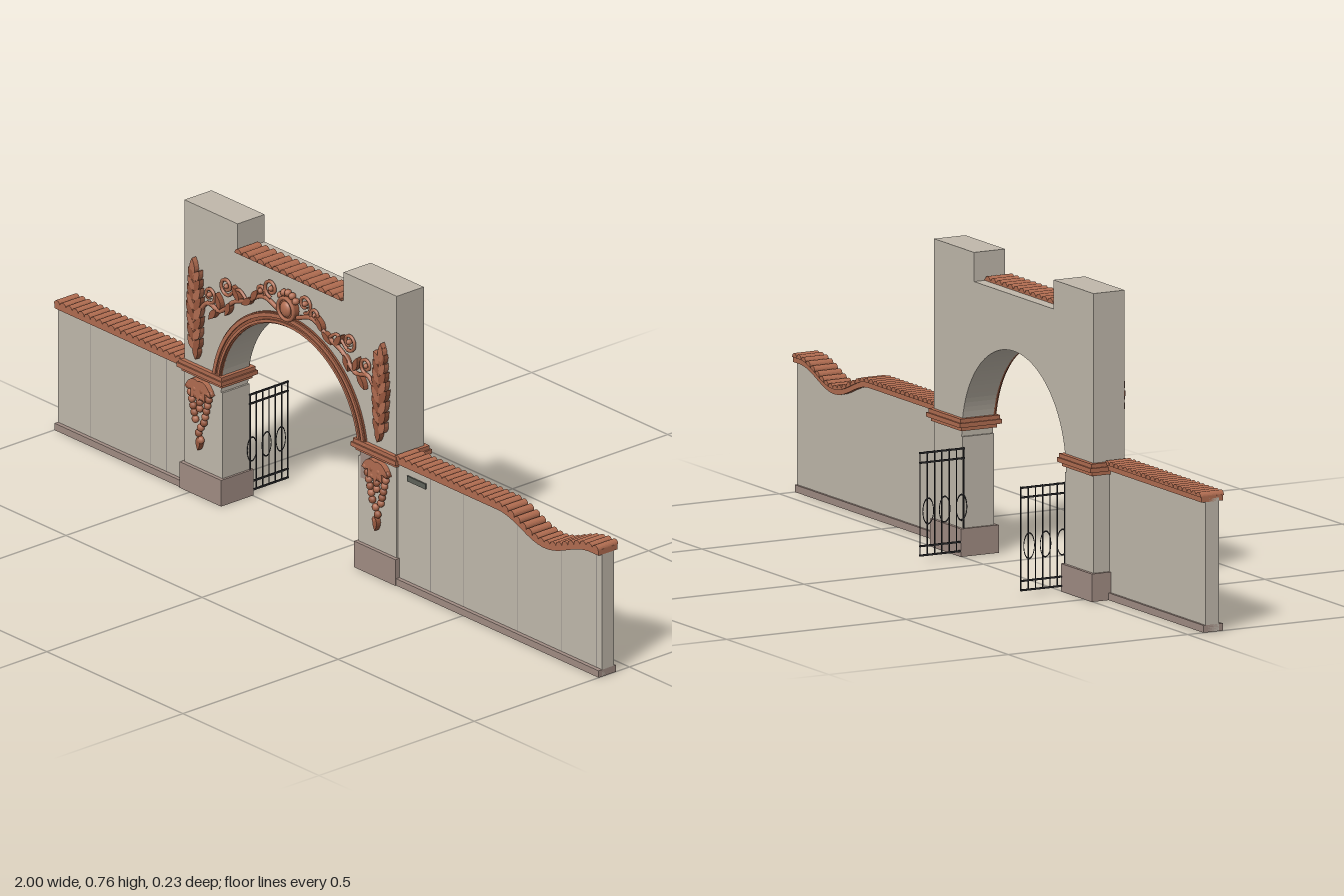
import * as THREE from 'three';

export function createModel() {
  const root = new THREE.Group();
  const mat = (name, color, side = THREE.FrontSide) => {
    const m = new THREE.MeshStandardMaterial({ color, side });
    m.name = name;
    return m;
  };
  const plaster = mat('plaster', 0xc0b8ab);
  const clay = mat('terracotta', 0xb06c50);
  const carved = mat('carvedTerracotta', 0x98583e);
  const plinth = mat('plinthStone', 0xa08c83);
  const iron = mat('iron', 0x2a2a2c);
  const sign = mat('plaqueMetal', 0x5f625a);
  const seamMat = mat('seam', 0x96908a);

  const add = (name, geo, m, x = 0, y = 0, z = 0, parent = root) => {
    const mesh = new THREE.Mesh(geo, m);
    mesh.name = name;
    mesh.position.set(x, y, z);
    parent.add(mesh);
    return mesh;
  };
  // box given by its minimum and maximum on each axis
  const box = (name, m, x0, x1, y0, y1, z0, z1, parent = root) =>
    add(name, new THREE.BoxGeometry(x1 - x0, y1 - y0, z1 - z0), m,
      (x0 + x1) / 2, (y0 + y1) / 2, (z0 + z1) / 2, parent);
  const extrude = (shape, depth, curveSegments = 32) =>
    new THREE.ExtrudeGeometry(shape, { depth, bevelEnabled: false, curveSegments });
  const group = (name) => {
    const g = new THREE.Group();
    g.name = name;
    root.add(g);
    return g;
  };

  const CX = -0.14, CY = 0.295, R = 0.255;

  // gate body with arched opening and lowered middle
  const body = new THREE.Shape();
  body.moveTo(-0.53, 0);
  body.lineTo(-0.39, 0);
  body.lineTo(-0.39, CY);
  body.absarc(CX, CY, R, Math.PI, 0, true);
  body.lineTo(0.11, CY);
  [[0.11, 0], [0.25, 0], [0.25, 0.76], [0.055, 0.76], [0.055, 0.688], [-0.335, 0.688], [-0.335, 0.76], [-0.53, 0.76]]
    .forEach(([x, y]) => body.lineTo(x, y));
  add('archBody', extrude(body, 0.087), plaster, 0, 0, 0.005);

  // moulded band around the arch
  const band = (r0, r1, depth, name, m) => {
    const s = new THREE.Shape();
    s.absarc(CX, CY, r1, 0.12, Math.PI - 0.12, false);
    s.absarc(CX, CY, r0, Math.PI - 0.12, 0.12, true);
    add(name, extrude(s, depth, 40), m, 0, 0, 0.091);
  };
  band(R, 0.285, 0.006, 'archBand', carved);
  band(0.258, 0.265, 0.01, 'archInnerRib', clay);
  band(0.272, 0.282, 0.01, 'archOuterRib', clay);

  // pier plinths and stepped capitals
  [[-0.53, -0.39], [0.11, 0.25]].forEach(([a, b]) => {
    box('pierPlinth', plinth, a - 0.006, b + 0.006, 0, 0.069, -0.003, 0.102);
    [[0.31, 0.32, 0.004], [0.32, 0.331, 0.013], [0.331, 0.341, 0.009]].forEach(([y0, y1, o]) =>
      box('capitalStep', clay, a - o, b + o, y0, y1, 0.003 - o, 0.094 + o));
  });

  // boundary walls, whose top dips near the right end
  const topAt = (x) => Math.abs(x - 0.8) < 0.17
    ? 0.33 - 0.045 * (1 + Math.cos(Math.PI * (x - 0.8) / 0.17)) / 2 : 0.33;
  const strip = (x0, x1, low, high) => {
    const s = new THREE.Shape();
    const n = 40;
    s.moveTo(x0, low(x0));
    for (let i = 1; i <= n; i++) s.lineTo(x0 + (x1 - x0) * i / n, low(x0 + (x1 - x0) * i / n));
    for (let i = n; i >= 0; i--) s.lineTo(x0 + (x1 - x0) * i / n, high(x0 + (x1 - x0) * i / n));
    return s;
  };
  const tile = (name, r, depth, x, y, z, tilt, parent) => {
    const s = new THREE.Shape();
    s.absarc(0, 0, r, 0, Math.PI, false);
    add(name, extrude(s, depth, 5), clay, x, y, z, parent).rotation.z = tilt;
  };
  [[-1, -0.53, 21, [-0.88, -0.66, -0.6]], [0.25, 1, 34, [0.37, 0.49, 0.69, 0.85, 0.98]]].forEach(([x0, x1, n, seams]) => {
    add('boundaryWall', extrude(strip(x0, x1, () => 0, topAt), 0.038), plaster, 0, 0, 0.05);
    box('wallPlinth', plinth, x0, x1, 0, 0.018, 0.044, 0.099);
    add('copingBed', extrude(strip(x0, x1, (x) => topAt(x) - 0.008, (x) => topAt(x) + 0.006), 0.06), clay, 0, 0, 0.039);
    const tiles = group('copingTiles');
    const step = (x1 - x0) / n;
    for (let i = 0; i < n; i++) {
      const x = x0 + step * (i + 0.5);
      const tilt = Math.atan2(topAt(x + 0.01) - topAt(x - 0.01), 0.02);
      tile('copingTile', step / 2, 0.065, x, topAt(x) + 0.005, 0.036, tilt, tiles);
    }
    seams.forEach((x) => box('wallSeam', seamMat, x - 0.001, x + 0.001, 0.018, topAt(x) - 0.008, 0.087, 0.0885));
  });
  box('plaque', sign, 0.287, 0.355, 0.284, 0.298, 0.087, 0.092);
  box('pierPanel', plinth, 0.12, 0.157, 0.24, 0.31, 0.09, 0.094);

  // roof tiles in the lowered middle
  const roof = group('roofTiles');
  box('roofTileBed', clay, -0.335, 0.055, 0.686, 0.692, 0.035, 0.1, roof);
  for (let i = 0; i < 14; i++) {
    tile('roofTile', 0.0125, 0.068, -0.335 + 0.39 * (i + 0.5) / 14, 0.688, 0.035, 0, roof);
  }

  // carved ornament helpers
  const leafShape = new THREE.Shape();
  leafShape.moveTo(0, 0);
  leafShape.quadraticCurveTo(0.35, 0.5, 1, 0);
  leafShape.quadraticCurveTo(0.35, -0.5, 0, 0);
  const leafGeo = extrude(leafShape, 0.014, 6);
  const beadGeo = new THREE.SphereGeometry(1, 10, 8);
  const vine = (parent, pts, r) => add('vine', new THREE.TubeGeometry(
    new THREE.CatmullRomCurve3(pts.map(([x, y]) => new THREE.Vector3(x, y, 0.101))), pts.length * 5, r, 6), clay, 0, 0, 0, parent);

  // scrolls, leaf sprays and hanging clusters, mirrored about the arch axis
  [-1, 1].forEach((s) => {
    const g = group(s < 0 ? 'rightOrnament' : 'leftOrnament');
    const X = (u) => CX + s * u;
    const leaf = (u, y, len, wid, ang, m = clay) => {
      const l = add('leaf', leafGeo, m, X(u), y, 0.093, g);
      l.scale.set(len, wid, 1);
      l.rotation.z = s > 0 ? ang : Math.PI - ang;
    };
    const bead = (u, y, r, m = clay) => add('bead', beadGeo, m, X(u), y, 0.1, g).scale.set(r, r, 0.009);
    const curl = (u, y, r, a0, turn) => {
      const pts = [];
      for (let i = 0; i <= 12; i++) {
        const a = a0 + turn * i / 12, q = r * (1 - 0.7 * i / 12);
        pts.push([X(u + q * Math.cos(a)), y + q * Math.sin(a)]);
      }
      vine(g, pts, 0.0045);
      bead(u, y, 0.007);
    };
    vine(g, [[0.035, 0.59], [0.09, 0.606], [0.144, 0.577], [0.197, 0.556], [0.25, 0.514], [0.293, 0.522], [0.335, 0.475]]
      .map(([u, y]) => [X(u), y]), 0.006);
    curl(0.062, 0.635, 0.025, -1.6, 7.5);
    curl(0.1, 0.617, 0.018, 4.2, -6);
    curl(0.225, 0.588, 0.024, -1.9, 7.5);
    curl(0.288, 0.545, 0.022, -1.7, -7);
    vine(g, [[0.15, 0.575], [0.18, 0.593], [0.217, 0.566]].map(([u, y]) => [X(u), y]), 0.0045);
    [[0.13, 0.585, 2.2], [0.13, 0.585, -0.6], [0.175, 0.565, 0.9], [0.21, 0.55, -1.2], [0.245, 0.52, 1.2], [0.26, 0.515, -0.9]]
      .forEach(([u, y, a]) => leaf(u, y, 0.042, 0.035, a, carved));
    // upright leaf spray
    vine(g, [[0.335, 0.37], [0.345, 0.44], [0.335, 0.51], [0.348, 0.615]].map(([u, y]) => [X(u), y]), 0.006);
    for (let i = 0; i < 8; i++) {
      const y = 0.385 + i * 0.026, len = 0.052 - Math.abs(i - 3) * 0.004;
      leaf(0.34, y, len, 0.04, 1.0, i % 2 ? carved : clay);
      leaf(0.34, y, len, 0.04, Math.PI - 1.0, i % 2 ? clay : carved);
    }
    leaf(0.346, 0.575, 0.05, 0.04, 1.57);
    leaf(0.335, 0.4, 0.04, 0.04, -1.6, carved);
    // hanging cluster below the capital
    for (let i = 0; i < 9; i++) {
      const w = 0.038 * Math.pow(1 - i / 9, 1.1), y = 0.282 - i * 0.0165;
      const n = Math.max(1, Math.round(w / 0.009));
      for (let j = 0; j < n; j++) {
        bead(0.325 + (n > 1 ? w * (2 * j / (n - 1) - 1) : (i % 2 ? 0.004 : -0.004)), y, 0.01, (i + j) % 2 ? carved : clay);
      }
    }
    [-0.5, -1.1, -1.57, -2.05, -2.65].forEach((a) => leaf(0.325, 0.305, 0.055, 0.05, a));
    leaf(0.325, 0.16, 0.037, 0.03, -1.57, carved);
  });

  // medallion at the crown of the arch
  const medallion = group('medallion');
  add('medallionDisc', new THREE.CylinderGeometry(0.032, 0.032, 0.016, 24).rotateX(Math.PI / 2), carved, CX, 0.603, 0.1, medallion);
  add('medallionRim', new THREE.TorusGeometry(0.028, 0.005, 6, 24), clay, CX, 0.603, 0.108, medallion);
  add('medallionBoss', beadGeo, clay, CX, 0.603, 0.107, medallion).scale.set(0.019, 0.021, 0.011);
  for (let i = 0; i < 5; i++) {
    const a = Math.PI * (0.2 + 0.15 * i);
    add('medallionBead', beadGeo, clay, CX + 0.034 * Math.cos(a), 0.61 + 0.034 * Math.sin(a), 0.1, medallion).scale.set(0.009, 0.009, 0.01);
  }

  // open iron gates swung to the back
  [-0.387, 0.107].forEach((x) => {
    const g = group('ironGate');
    const t = 0.0012;
    [0.014, 0.037, 0.243, 0.267].forEach((y) => box('gateRail', iron, x - 0.0018, x + 0.0018, y - 0.0022, y + 0.0022, -0.117, 0.008, g));
    for (let i = 0; i < 7; i++) {
      const z = 0.006 - i * 0.0203;
      box('gateBar', iron, x - t, x + t, 0.012, 0.27, z - t, z + t, g);
    }
    [0, -0.047, -0.093].forEach((z) => {
      const ring = add('gateOval', new THREE.TorusGeometry(0.015, 0.001, 5, 24), iron, x, 0.122, z, g);
      ring.rotation.y = Math.PI / 2;
      ring.scale.y = 2.1;
    });
  });

  return root;
}
